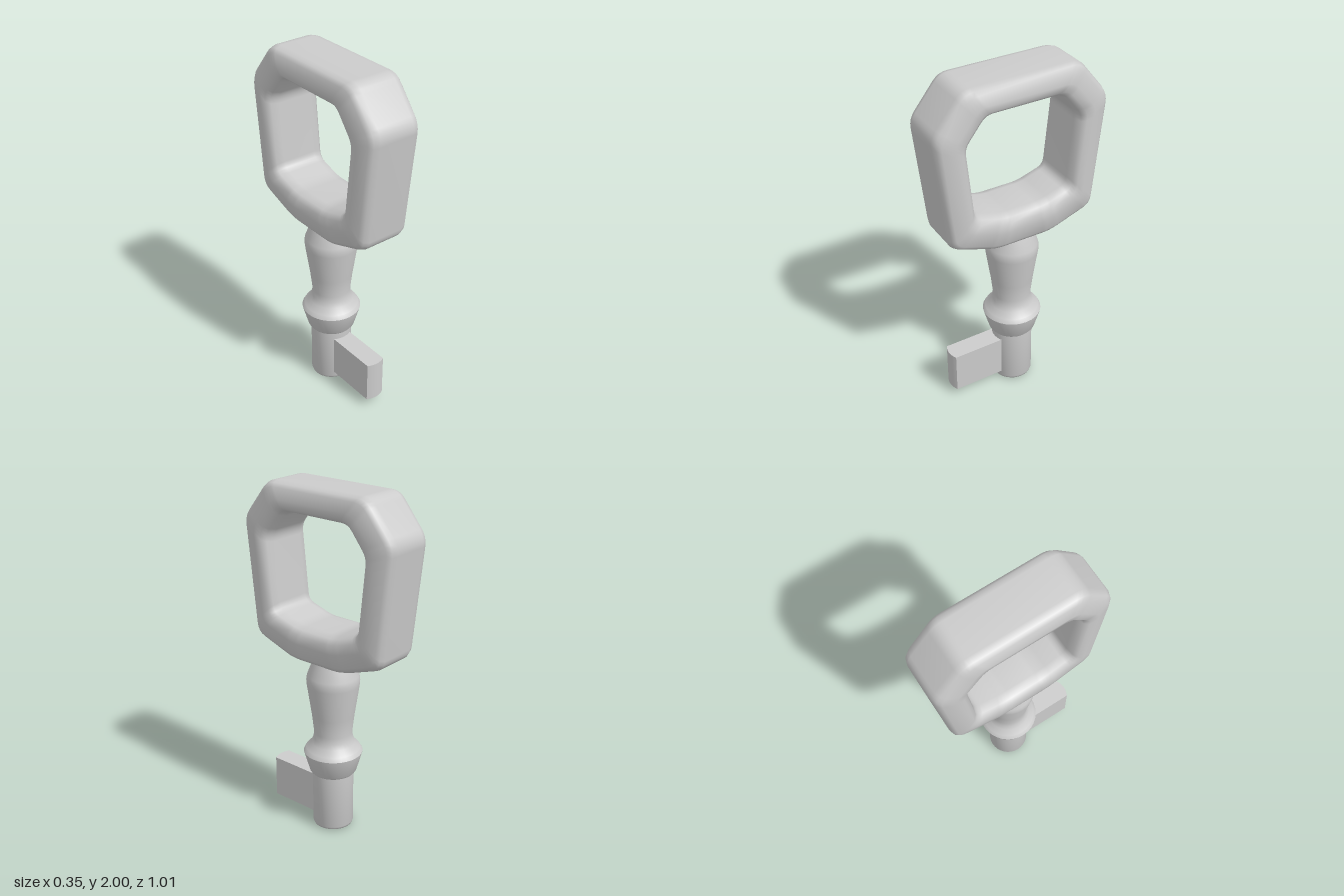
import * as THREE from 'three';
import { toCreasedNormals } from 'three/addons/utils/BufferGeometryUtils.js';

const grey = new THREE.MeshStandardMaterial({ color: 0xcccccc });

// Mirrors half an outline of [z, y] corners and rounds every corner with a short curve
function roundedOutline(half, cut, steps = 4) {
  const corners = [...half, ...half.map(([z, y]) => [-z, y]).reverse()]
    .map(([z, y]) => new THREE.Vector2(z, y));
  const n = corners.length;
  return corners.flatMap((p, i) => {
    const toward = (q) => p.clone().add(q.clone().sub(p).setLength(cut));
    const a = toward(corners[(i + n - 1) % n]);
    const b = toward(corners[(i + 1) % n]);
    return new THREE.QuadraticBezierCurve(a, p, b).getPoints(steps);
  });
}

// Ring lofted between the outer and inner outlines; section is [outer-to-inner fraction, half width]
function ringGeometry(outer, inner, section) {
  const loop = [
    ...section.map(([u, x]) => [u, -x]),
    ...section.map(([u, x]) => [u, x]).reverse(),
  ];
  const n = outer.length, m = loop.length;
  const positions = [], index = [];
  for (let i = 0; i < n; i++) {
    for (const [u, x] of loop) {
      const p = outer[i].clone().lerp(inner[i], u);
      positions.push(x, p.y, p.x);
    }
    for (let j = 0; j < m; j++) {
      const i2 = (i + 1) % n, j2 = (j + 1) % m;
      const a = i * m + j, b = i2 * m + j, c = i2 * m + j2, d = i * m + j2;
      index.push(a, b, c, a, c, d);
    }
  }
  const g = new THREE.BufferGeometry();
  g.setAttribute('position', new THREE.Float32BufferAttribute(positions, 3));
  g.setIndex(index);
  g.computeVertexNormals();
  return g;
}

export function createModel() {
  const group = new THREE.Group();
  const add = (name, geometry, x = 0, y = 0, z = 0) => {
    const mesh = new THREE.Mesh(geometry, grey);
    mesh.name = name;
    mesh.position.set(x, y, z);
    group.add(mesh);
  };
  const lathe = (points) => toCreasedNormals(
    new THREE.LatheGeometry(points.map(([r, y]) => new THREE.Vector2(r, y)), 32), 0.75);

  // Eight-sided finger ring
  const outer = roundedOutline([[0.17, 1.028], [0.435, 1.12], [0.508, 1.785], [0.335, 2]], 0.05);
  const inner = roundedOutline([[0.12, 1.235], [0.285, 1.285], [0.328, 1.7], [0.215, 1.845]], 0.04);
  add('handleRing', ringGeometry(outer, inner, [
    [0, 0.105], [0.06, 0.138], [0.18, 0.157], [0.55, 0.173], [0.8, 0.167], [0.93, 0.145], [1, 0.1],
  ]));

  // Turned stem, its neck running up into the ring
  add('stem', lathe([
    [0.12, 0.48], [0.155, 0.497], [0.125, 0.53], [0.113, 0.56], [0.108, 0.595],
    [0.12, 0.7], [0.148, 0.89], [0.15, 0.92], [0.145, 0.945], [0.118, 1.015], [0.11, 1.04], [0, 1.1],
  ]), 0.002, 0, -0.008);

  // Flared collar
  add('collar', lathe([
    [0, 0.345], [0.125, 0.345], [0.135, 0.358], [0.165, 0.462], [0.168, 0.475],
    [0.155, 0.497], [0.12, 0.53], [0, 0.53],
  ]), 0.002, 0, -0.008);

  // Round shaft with a softened lower edge
  add('shaft', lathe([
    [0, 0], [0.098, 0], [0.112, 0.008], [0.117, 0.022], [0.117, 0.36], [0, 0.36],
  ]), 0.002, 0, -0.008);

  // Flat bit with a gently bowed end, pointing forward
  const bit = new THREE.Shape();
  bit.moveTo(-0.057, 0);
  bit.lineTo(0.057, 0);
  bit.lineTo(0.057, -0.395);
  bit.quadraticCurveTo(0, -0.425, -0.057, -0.395);
  bit.closePath();
  const bitGeometry = new THREE.ExtrudeGeometry(bit, { depth: 0.248, bevelEnabled: false, curveSegments: 8 });
  bitGeometry.rotateX(-Math.PI / 2);
  add('bit', toCreasedNormals(bitGeometry, 0.5), 0, 0.052, 0);

  return group;
}
